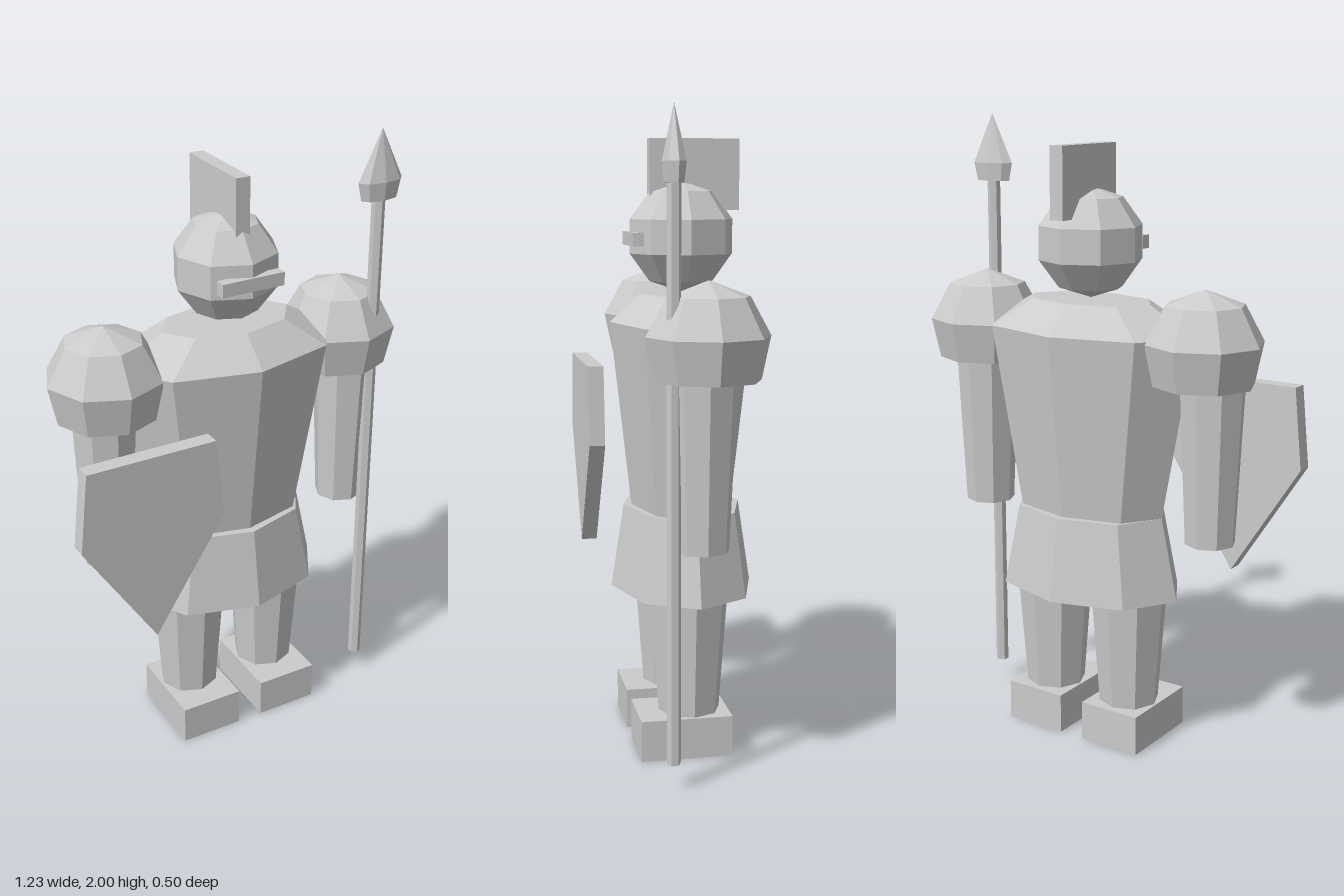
import * as THREE from 'three';

const CX = 0.013, CZ = -0.025; // body axis

export function createModel() {
  const model = new THREE.Group();
  const mat = new THREE.MeshStandardMaterial({ color: 0xcccccc, flatShading: true });
  const openMat = mat.clone();
  openMat.side = THREE.DoubleSide;

  const add = (name, geometry, x, y, z, material = mat) => {
    const mesh = new THREE.Mesh(geometry, material);
    mesh.name = name;
    mesh.position.set(x, y, z);
    model.add(mesh);
    return mesh;
  };
  // Faceted body of revolution from [radius, y] pairs, listed upwards
  const lathe = (pairs, sides = 8) =>
    new THREE.LatheGeometry(pairs.map(([r, y]) => new THREE.Vector2(r, y)), sides);
  // Closed tapered limb between two heights
  const limb = (rTop, rBottom, top, bottom, sides = 8) =>
    new THREE.CylinderGeometry(rTop, rBottom, top - bottom, sides).translate(0, (top + bottom) / 2, 0);

  // Torso with sloping shoulders, and the flared skirt below it
  add('torso', lathe([[0, 0.77], [0.27, 0.77], [0.38, 1.355], [0.22, 1.443], [0, 1.443]]), CX, 0, CZ)
    .scale.z = 0.6;
  add('skirt', limb(0.27, 0.328, 0.77, 0.505), CX, 0, CZ).scale.z = 0.695;

  // Helmet, visor and crest
  add('helmet', new THREE.SphereGeometry(0.172, 8, 5), CX, 1.62, CZ);
  add('visor', new THREE.BoxGeometry(0.21, 0.042, 0.035), CX, 1.613, 0.128);
  add('crest', new THREE.BoxGeometry(0.047, 0.22, 0.283), CX, 1.81, -0.063);

  // Paired limbs
  for (const [side, s] of [['left', 1], ['right', -1]]) {
    add(side + 'ShoulderGuard',
      new THREE.SphereGeometry(0.188, 8, 3, 0, Math.PI * 2, 0, Math.PI * 0.68),
      CX + s * 0.414, 1.319, CZ, openMat);
    add(side + 'Arm', limb(0.108, 0.08, 1.33, 0.717), CX + s * 0.434, 0, -0.005);
    add(side + 'Leg', limb(0.128, 0.097, 0.55, 0.12), CX + s * 0.148, 0, -0.022);
    add(side + 'Foot', new THREE.BoxGeometry(0.21, 0.13, 0.29), CX + s * 0.148, 0.065, 0.003);
  }

  // Shield held in front of the right arm
  const outline = new THREE.Shape([
    [-0.211, 0.26], [-0.238, 0], [0, -0.371], [0.238, 0], [0.211, 0.26],
  ].map(([x, y]) => new THREE.Vector2(x, y)));
  add('shield', new THREE.ExtrudeGeometry(outline, { depth: 0.052, bevelEnabled: false }),
    -0.384, 0.933, 0.198);

  // Spear in front of the left arm, with a flattened head
  add('spearShaft', limb(0.021, 0.021, 1.82, 0.08, 6), 0.484, 0, 0.088);
  add('spearHead', lathe([[0, 1.782], [0.066, 1.782], [0.079, 1.84], [0, 2]]), 0.486, 0, 0.088)
    .scale.z = 0.44;

  return model;
}
